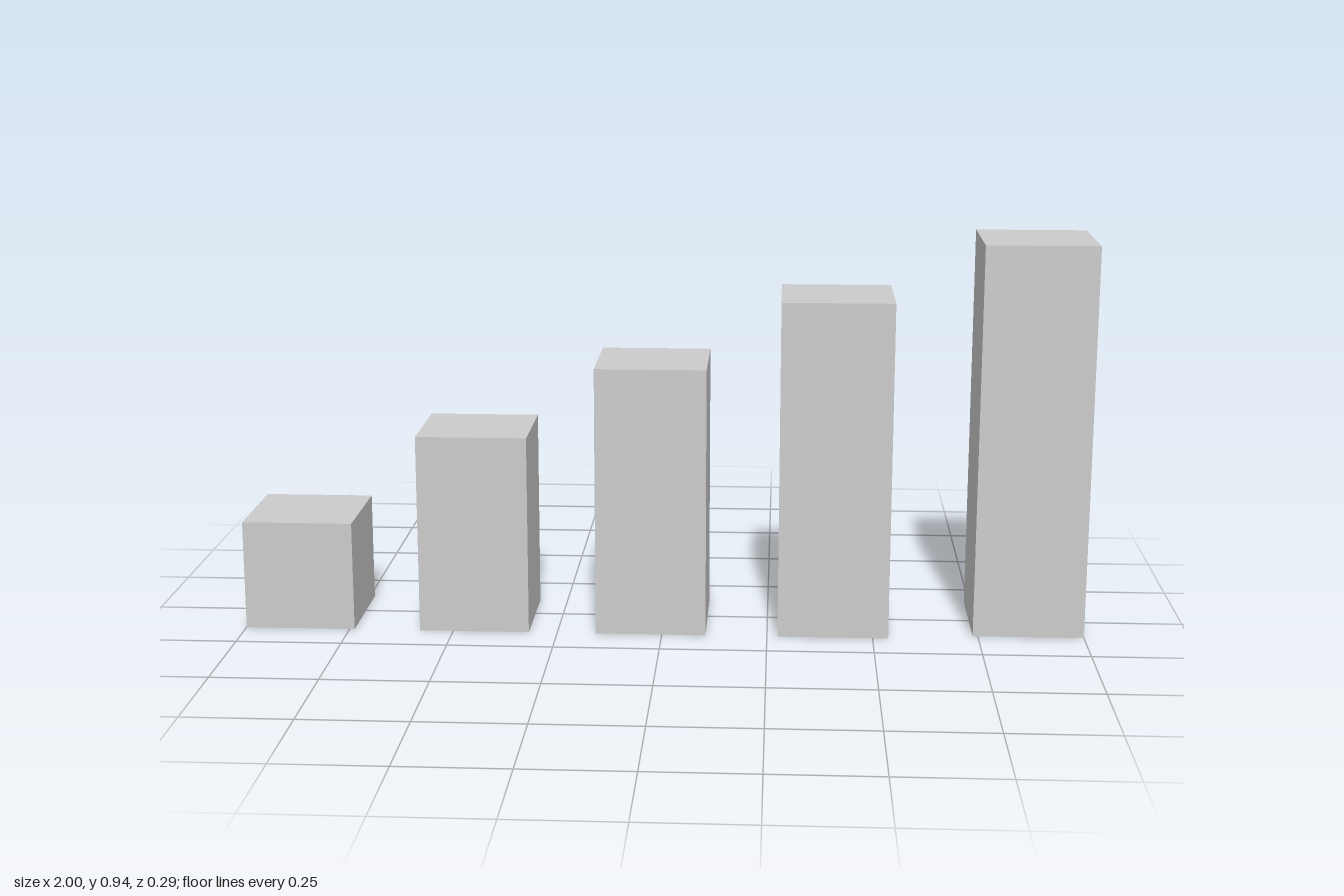
import * as THREE from 'three';

export function createModel() {
  const model = new THREE.Group();
  model.name = 'risingPillars';
  const material = new THREE.MeshStandardMaterial({ color: 0xcccccc, flatShading: true });
  const width = 0.262;

  // centre x, height, back z, front z of each pillar, shortest first
  const pillars = [
    [-0.869, 0.262, -0.117, 0.145],
    [-0.449, 0.476, -0.105, 0.145],
    [-0.027, 0.643, -0.117, 0.145],
    [0.406, 0.803, -0.117, 0.145],
    [0.869, 0.935, -0.145, 0.117],
  ];

  pillars.forEach(([x, height, back, front], i) => {
    const pillar = new THREE.Mesh(new THREE.BoxGeometry(width, height, front - back), material);
    pillar.name = `pillar${i + 1}`;
    pillar.position.set(x, height / 2, (front + back) / 2);
    model.add(pillar);
  });

  return model;
}
